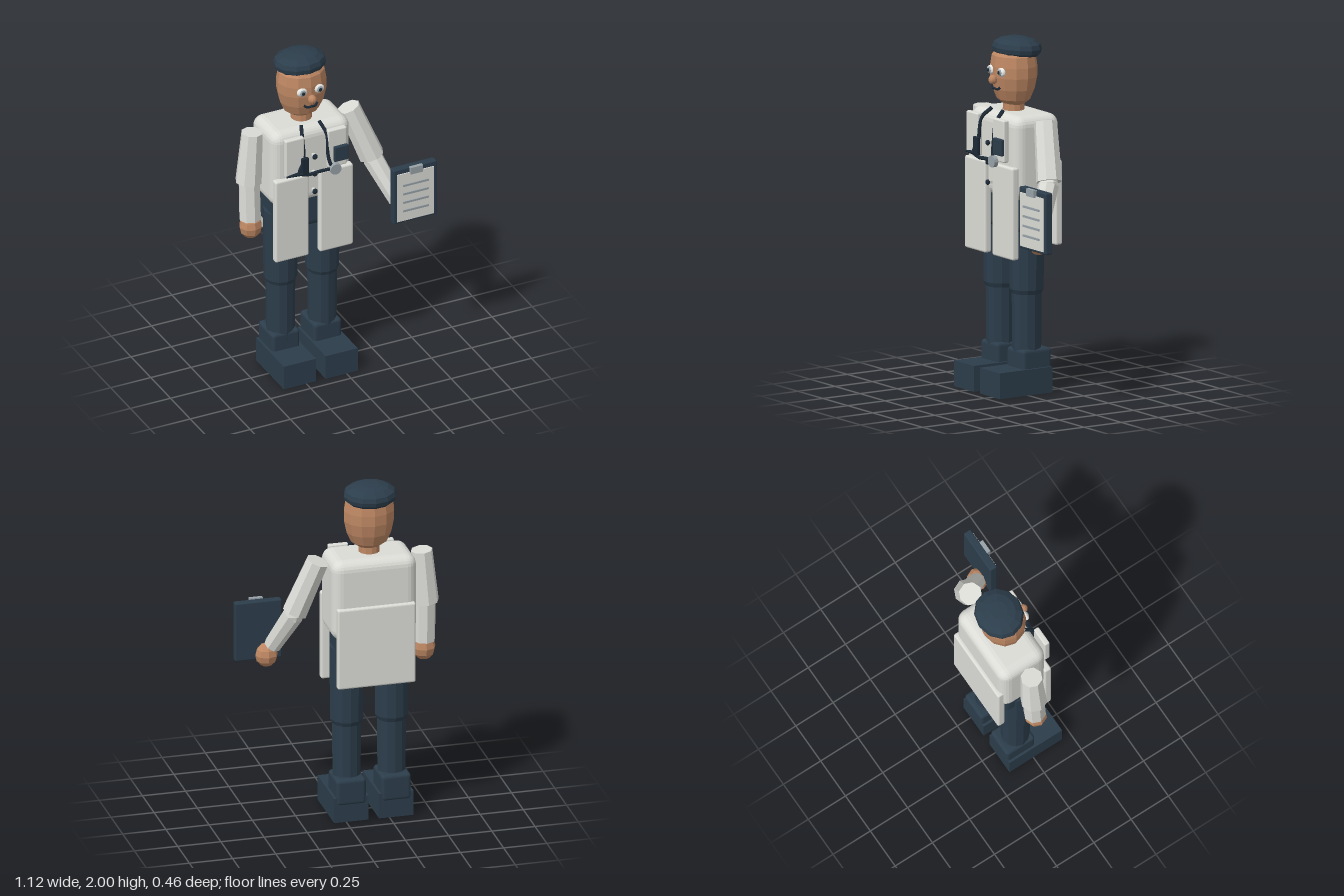
import * as THREE from 'three';
import { RoundedBoxGeometry } from 'three/addons/geometries/RoundedBoxGeometry.js';

const V = (x, y, z) => new THREE.Vector3(x, y, z);

export function createModel() {
  const root = new THREE.Group();
  root.name = 'figure';
  const mat = (name, color) => {
    const m = new THREE.MeshStandardMaterial({ color, flatShading: true });
    m.name = name;
    return m;
  };
  const coat = mat('coat', 0xdcdcd7);
  const navy = mat('navy', 0x2c3d4b);
  const ink = mat('ink', 0x1d2a36);
  const skin = mat('skin', 0xbd8763);
  const white = mat('white', 0xf0f0ec);
  const grey = mat('grey', 0x98a2a8);

  const add = (name, geo, m, p = [0, 0, 0], parent = root) => {
    const mesh = new THREE.Mesh(geo, m);
    mesh.name = name;
    mesh.position.set(...p);
    parent.add(mesh);
    return mesh;
  };
  // box given by its limits, optionally with rounded edges
  const box = (name, m, [x0, x1], [y0, y1], [z0, z1], r = 0) => {
    const s = [x1 - x0, y1 - y0, z1 - z0];
    const g = r ? new RoundedBoxGeometry(...s, 3, r) : new THREE.BoxGeometry(...s);
    return add(name, g, m, [(x0 + x1) / 2, (y0 + y1) / 2, (z0 + z1) / 2]);
  };
  // tapered limb running from point a to point b
  const limb = (name, m, a, b, ra, rb, sides = 8) => {
    const d = b.clone().sub(a);
    const mesh = add(name, new THREE.CylinderGeometry(rb, ra, d.length(), sides), m);
    mesh.position.copy(a).addScaledVector(d, 0.5);
    mesh.quaternion.setFromUnitVectors(V(0, 1, 0), d.normalize());
    return mesh;
  };
  const ball = (name, m, p, s, w = 10, h = 7) =>
    add(name, new THREE.SphereGeometry(1, w, h), m, p).scale.set(...s);
  const lathe = (pts, n = 12) =>
    new THREE.LatheGeometry(pts.map((p) => new THREE.Vector2(...p)), n);
  const tube = (name, m, pts, r, n = 24) =>
    add(name, new THREE.TubeGeometry(new THREE.CatmullRomCurve3(pts.map((p) => V(...p))), n, r, 6), m);

  const cx = -0.16; // body axis
  const cz = -0.055;

  // Head, neck and cap
  add('neck', new THREE.CylinderGeometry(0.06, 0.062, 0.1, 12), skin, [cx, 1.605, cz]);
  add('head', lathe([[0, 1.615], [0.06, 1.62], [0.103, 1.65], [0.13, 1.71], [0.145, 1.78],
    [0.145, 1.84], [0.135, 1.9], [0.1, 1.94], [0, 1.95]]), skin, [cx, 0, cz]).scale.z = 0.88;
  const cap = add('cap', lathe([[0, -0.05], [0.126, -0.05], [0.147, -0.032], [0.152, -0.008],
    [0.142, 0.018], [0.105, 0.04], [0.055, 0.052], [0, 0.055]]), navy, [cx, 1.946, -0.077]);
  cap.scale.z = 0.89;
  cap.rotation.x = -0.06;

  // Face
  ball('nose', skin, [cx, 1.77, 0.085], [0.025, 0.027, 0.027]);
  for (const s of [-1, 1]) {
    const x = cx + s * 0.053;
    ball('eye', white, [x, 1.817, 0.062], [0.032, 0.026, 0.017], 12, 8);
    ball('iris', grey, [x, 1.817, 0.074], [0.019, 0.019, 0.009], 12, 6);
    ball('pupil', ink, [x, 1.817, 0.081], [0.01, 0.011, 0.006], 8, 6);
  }
  tube('mouth', ink, [[-0.203, 1.73, 0.062], [-0.185, 1.717, 0.07], [cx, 1.72, 0.076],
    [-0.135, 1.717, 0.07], [-0.117, 1.73, 0.062]], 0.007, 12);

  // Torso, hips and coat panels
  box('torso', coat, [-0.403, 0.087], [1.11, 1.587], [-0.212, 0.09], 0.06);
  box('hips', navy, [-0.37, 0.05], [0.92, 1.16], [-0.18, 0.05], 0.04);
  box('coatBack', coat, [-0.385, 0.067], [0.833, 1.315], [-0.232, -0.185], 0.012);
  for (const s of [-1, 1]) {
    const c = cx + s * 0.138;
    box('coatFront', coat, [c - 0.104, c + 0.104], [0.78, 1.305], [0.07, 0.115], 0.012);
    const l = cx + s * 0.132;
    box('chestPanel', coat, [l - 0.058, l + 0.058], [1.33, 1.57], [0.105, 0.138], 0.008);
  }
  for (const y of [1.415, 1.305, 1.19]) ball('button', ink, [cx, y, 0.12], [0.016, 0.016, 0.012], 8, 6);
  for (const y of [1.415, 1.305, 1.19]) box('buttonBase', coat, [cx - 0.008, cx + 0.008], [y - 0.008, y + 0.008], [0.085, 0.115]);
  box('badge', navy, [-0.055, 0.031], [1.37, 1.465], [0.135, 0.158], 0.006);

  // Listening tube with its chest piece
  tube('tubeRight', ink, [[-0.215, 1.6, 0.055], [-0.236, 1.54, 0.115], [-0.236, 1.43, 0.13],
    [-0.265, 1.35, 0.142], [-0.22, 1.328, 0.145], [-0.14, 1.33, 0.145], [-0.055, 1.33, 0.148]], 0.011, 36);
  tube('tubeLeft', ink, [[-0.103, 1.6, 0.055], [-0.085, 1.54, 0.115], [-0.086, 1.43, 0.13],
    [-0.075, 1.36, 0.142], [-0.055, 1.33, 0.148]], 0.011);
  box('penHolder', ink, [-0.258, -0.212], [1.335, 1.44], [0.135, 0.155], 0.005);
  limb('tubeTip', ink, V(-0.345, 1.34, 0.14), V(-0.25, 1.345, 0.145), 0.005, 0.014, 6);
  add('chestPiece', new THREE.CylinderGeometry(0.034, 0.034, 0.025, 12), grey, [-0.052, 1.33, 0.156])
    .rotation.x = Math.PI / 2;

  // Legs and shoes
  for (const s of [-1, 1]) {
    const x = cx + s * 0.13;
    limb('thigh', navy, V(x, 0.59, cz), V(x, 1.03, cz), 0.095, 0.099, 12);
    limb('kneeHem', navy, V(x, 0.565, cz), V(x, 0.59, cz), 0.084, 0.095, 12);
    limb('shin', navy, V(x, 0.2, cz), V(x, 0.58, cz), 0.081, 0.084, 12);
    box('ankle', navy, [x - 0.086, x + 0.086], [0.1, 0.255], [-0.167, 0.025], 0.02);
    box('shoe', navy, [x - 0.1, x + 0.1], [0, 0.147], [-0.16, 0.193]);
  }

  // Right arm hanging down
  limb('rightUpperArm', coat, V(-0.485, 1.247, -0.06), V(-0.463, 1.56, -0.06), 0.077, 0.062);
  limb('rightForearm', coat, V(-0.48, 1.01, -0.05), V(-0.482, 1.27, -0.06), 0.064, 0.062);
  ball('rightHand', skin, [-0.48, 0.965, -0.045], [0.067, 0.076, 0.065], 8, 6);

  // Left arm reaching forward
  limb('leftUpperArm', coat, V(0.257, 1.245, -0.014), V(0.14, 1.56, -0.068), 0.074, 0.066);
  ball('leftElbow', coat, [0.262, 1.225, -0.005], [0.06, 0.06, 0.06], 8, 6);
  limb('leftForearm', coat, V(0.352, 1.0, 0.115), V(0.262, 1.225, -0.005), 0.05, 0.06);
  ball('leftHand', skin, [0.38, 0.935, 0.14], [0.065, 0.07, 0.06], 8, 6);

  // Clipboard
  box('board', navy, [0.285, 0.555], [0.9, 1.25], [0.162, 0.208], 0.008);
  box('paper', coat, [0.305, 0.535], [0.915, 1.22], [0.205, 0.214]);
  box('clip', grey, [0.383, 0.46], [1.213, 1.255], [0.205, 0.228]);
  for (let i = 0; i < 4; i++) {
    const y = 1.145 - i * 0.055;
    box('paperLine', grey, [0.34, 0.5], [y - 0.006, y + 0.006], [0.213, 0.22]);
  }
  return root;
}
